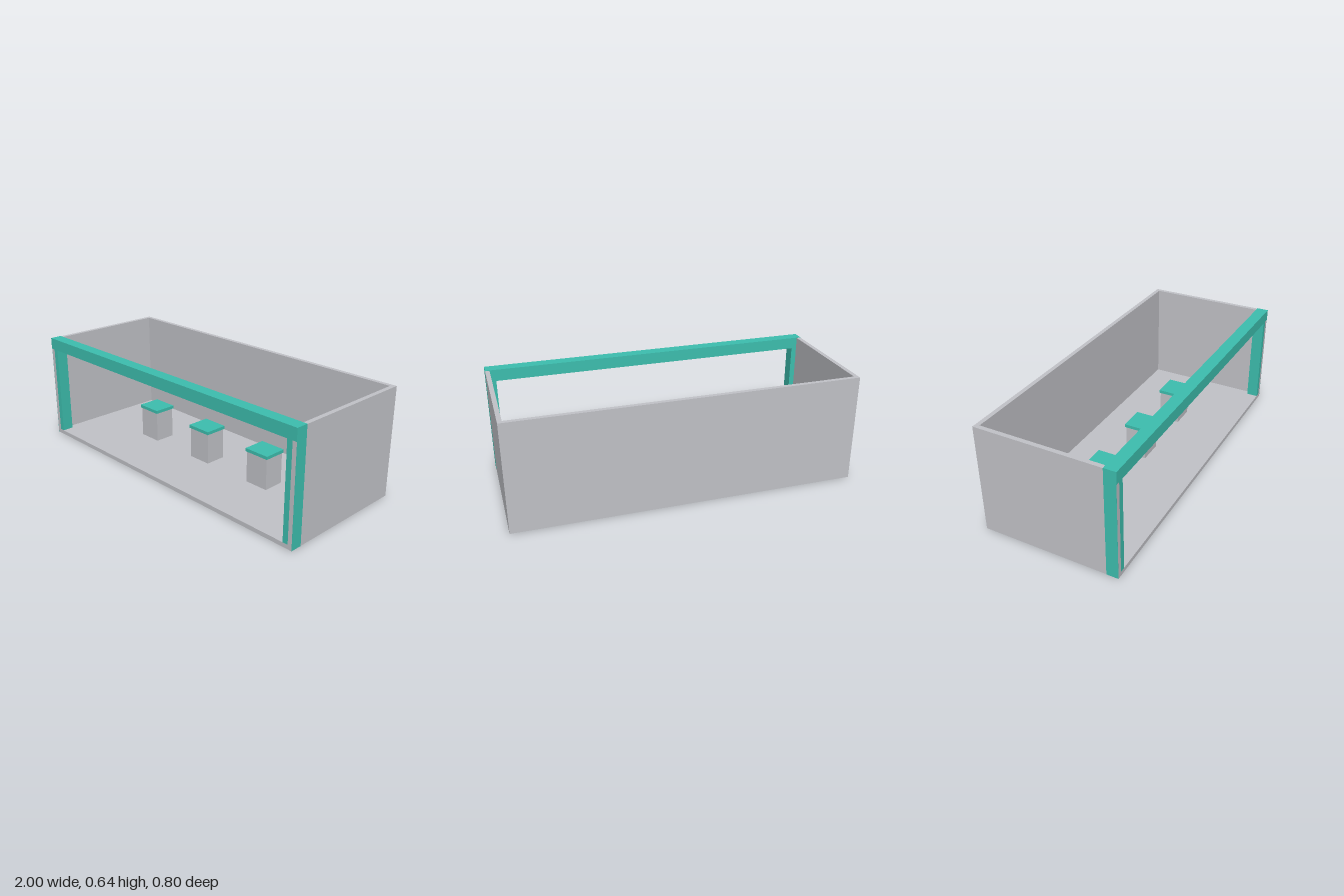
import * as THREE from 'three';

const grey = new THREE.MeshStandardMaterial({ name: 'concrete grey', color: 0xc2c3c8 });
const teal = new THREE.MeshStandardMaterial({ name: 'teal trim', color: 0x3dbfaf });

// Box given by its minimum and maximum on each axis
function box(name, material, [x0, x1], [y0, y1], [z0, z1]) {
  const mesh = new THREE.Mesh(new THREE.BoxGeometry(x1 - x0, y1 - y0, z1 - z0), material);
  mesh.position.set((x0 + x1) / 2, (y0 + y1) / 2, (z0 + z1) / 2);
  mesh.name = name;
  return mesh;
}

export function createModel() {
  const model = new THREE.Group();
  model.name = 'exhibitionStand';
  const height = 0.64, wall = 0.025, back = -0.4, front = 0.4, trimBack = 0.332;

  // Open-topped shell: floor, back wall and side walls
  model.add(
    box('floor', grey, [-1, 1], [0, wall], [back, front]),
    box('backWall', grey, [-1, 1], [wall, height], [back, back + wall]),
  );

  for (const [side, s] of [['left', 1], ['right', -1]]) {
    const span = (a, b) => (s > 0 ? [a, b] : [-b, -a]);
    model.add(
      box(`${side}Wall`, grey, span(1 - wall, 1), [wall, height], [back + wall, front]),
      // Front post inside the wall, with a thin facing outside it
      box(`${side}Post`, teal, span(0.943, 1 - wall), [wall, 0.575], [trimBack, front]),
      box(`${side}PostFacing`, teal, span(1, 1.001), [0, height], [trimBack, front]),
    );
  }

  // Fascia beam across the top of the open front
  model.add(box('fasciaBeam', teal, [-1.001, 1.001], [0.573, 0.642], [trimBack, 0.402]));

  // Row of display pedestals with overhanging tops
  for (const x of [-0.46, 0, 0.46]) {
    const pedestal = new THREE.Group();
    pedestal.name = 'pedestal';
    pedestal.position.x = x;
    pedestal.add(
      box('pedestalBody', grey, [-0.073, 0.073], [wall, 0.212], [-0.064, 0.062]),
      box('pedestalTop', teal, [-0.079, 0.079], [0.212, 0.231], [-0.07, 0.068]),
    );
    model.add(pedestal);
  }
  return model;
}
